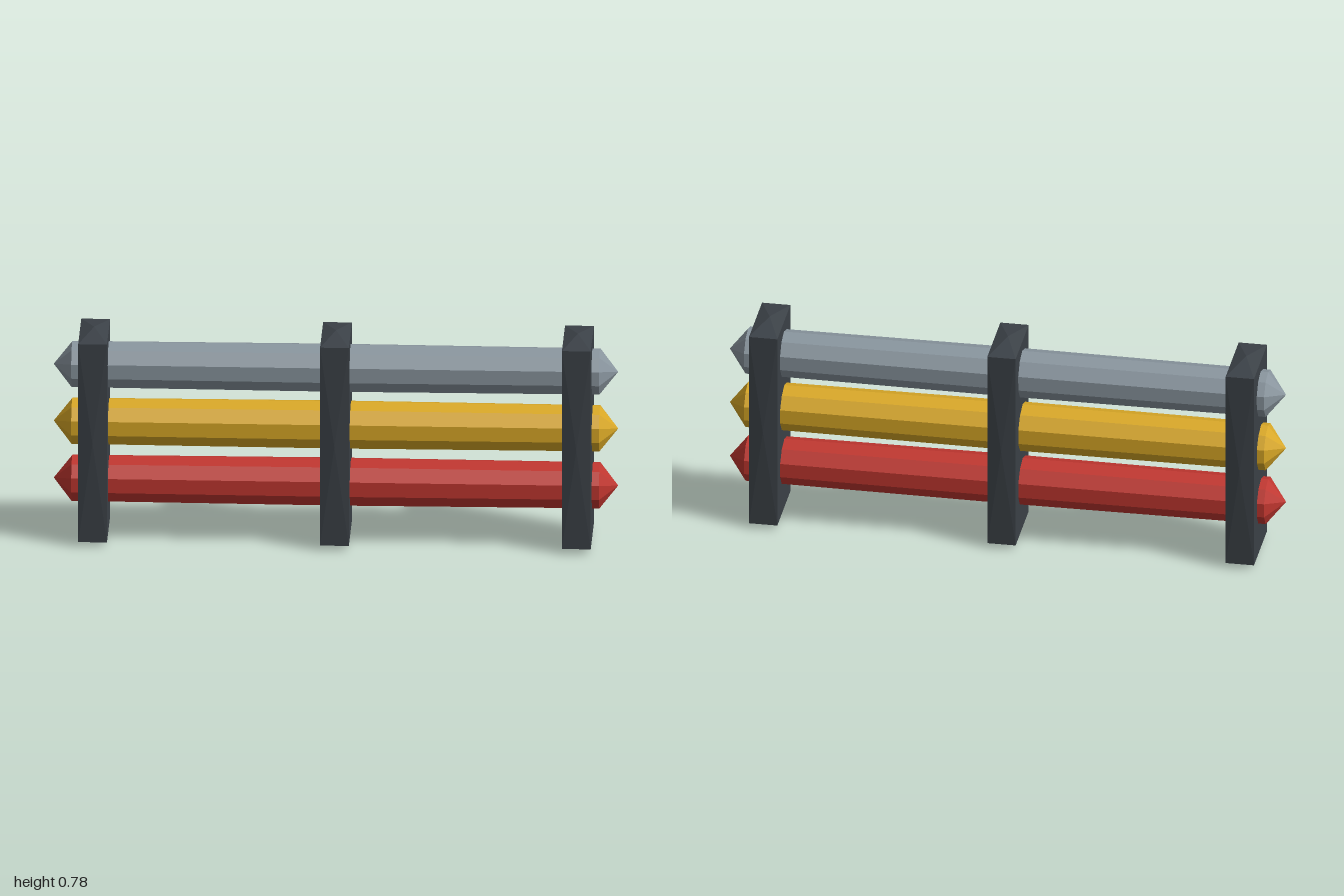
import * as THREE from 'three';
import { ConvexGeometry } from 'three/addons/geometries/ConvexGeometry.js';

const PLATE = { x: 0.051, y: 0.373, z: 0.132, midY: 0.395, bulge: 1.05 };

// Upright block whose six faces each rise to a shallow point
function plateGeometry() {
  const { x, y, z, bulge } = PLATE;
  const points = [];
  for (const s of [-1, 1]) {
    for (const t of [-1, 1]) for (const u of [-1, 1]) points.push(new THREE.Vector3(s * x, t * y, u * z));
    points.push(new THREE.Vector3(s * x * bulge, 0, 0));
    points.push(new THREE.Vector3(0, s * y * bulge, 0));
    points.push(new THREE.Vector3(0, 0, s * z * bulge));
  }
  return new ConvexGeometry(points);
}

// Ten-sided rod along x, slightly fuller in the middle, with pointed ends
function rodGeometry() {
  const profile = [[0, -1], [0.085, -0.935], [0.0885, 0], [0.085, 0.935], [0, 1]]
    .map(([r, h]) => new THREE.Vector2(r, h));
  return new THREE.LatheGeometry(profile, 10, Math.PI / 2).rotateZ(Math.PI / 2);
}

function makeMaterial(name, color) {
  const material = new THREE.MeshStandardMaterial({ color, flatShading: true });
  material.name = name;
  return material;
}

export function createModel() {
  const model = new THREE.Group();
  model.name = 'threeRodRack';

  const add = (name, geometry, material, x, y) => {
    const mesh = new THREE.Mesh(geometry, material);
    mesh.name = name;
    mesh.position.set(x, y, 0);
    model.add(mesh);
  };

  // Three stacked rods
  const rod = rodGeometry();
  add('lowerRod', rod, makeMaterial('red', 0xc0362f), 0, 0.216);
  add('middleRod', rod, makeMaterial('yellow', 0xd9a826), 0, 0.431);
  add('upperRod', rod, makeMaterial('steelGrey', 0x89959e), 0, 0.645);

  // Dark plates holding the rods
  const plate = plateGeometry();
  const dark = makeMaterial('darkGrey', 0x3b4147);
  add('rightPlate', plate, dark, -0.857, PLATE.midY);
  add('centrePlate', plate, dark, 0, PLATE.midY);
  add('leftPlate', plate, dark, 0.857, PLATE.midY);

  return model;
}
